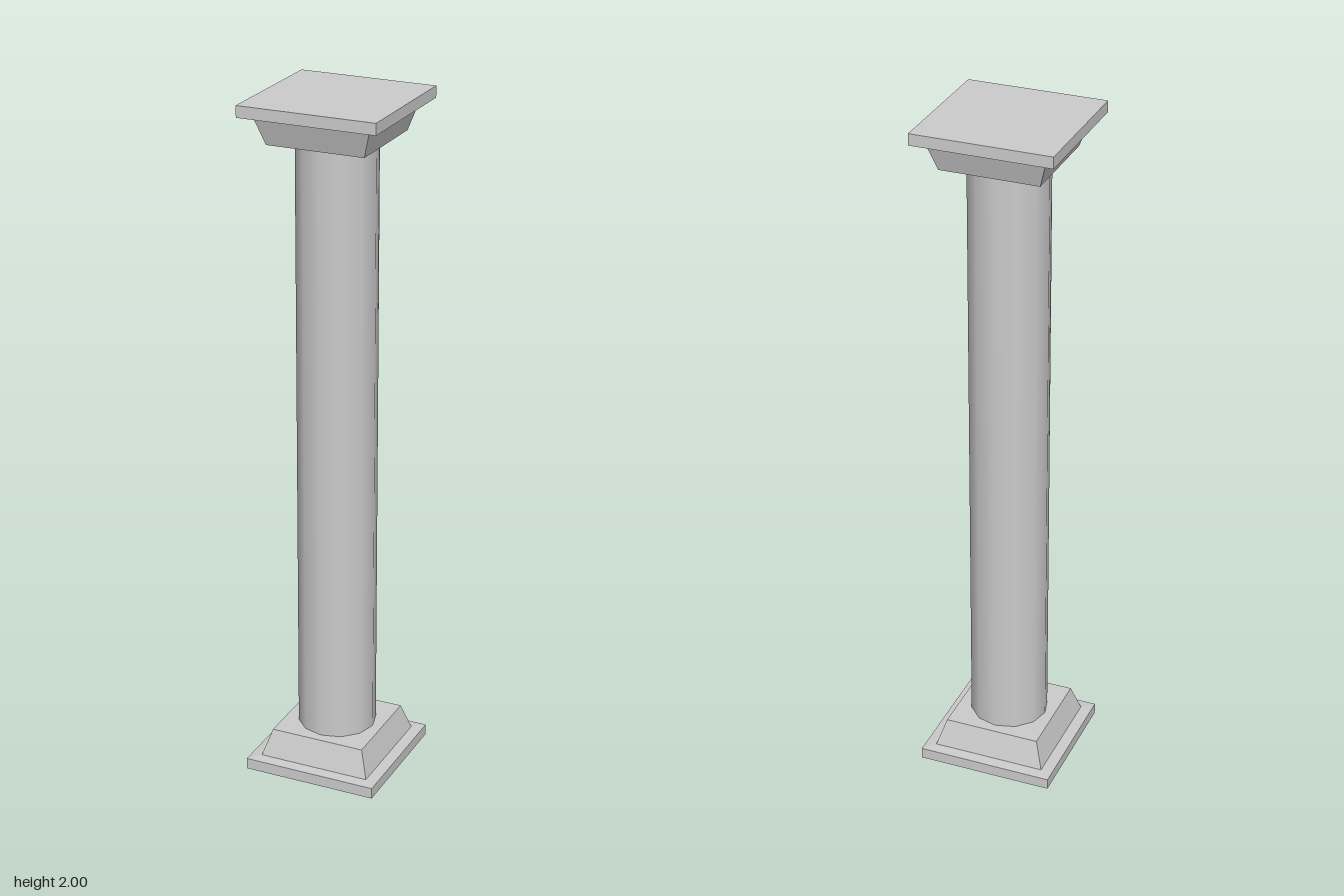
import * as THREE from 'three';

const flat = new THREE.MeshStandardMaterial({ color: 0xcccccc, flatShading: true, side: THREE.DoubleSide });
const smooth = new THREE.MeshStandardMaterial({ color: 0xcccccc, side: THREE.DoubleSide });

// Square moulding: a profile of [half width, y] swept round four sides
function squareMoulding(name, profile) {
  const points = profile.map(([w, y]) => new THREE.Vector2(w * Math.SQRT2, y));
  const geometry = new THREE.LatheGeometry(points, 4);
  geometry.rotateY(Math.PI / 4);
  const mesh = new THREE.Mesh(geometry, flat);
  mesh.name = name;
  return mesh;
}

export function createModel() {
  const group = new THREE.Group();
  group.name = 'column';

  // Base: plinth and sloped block, hollow underneath
  const profile = [[0.2, 0], [0.2, 0.033], [0.167, 0.036], [0.142, 0.115], [0, 0.115]];
  group.add(squareMoulding('base', profile));

  // Capital: the base turned over, closed by a flat top
  const flipped = profile.map(([w, y]) => [w, 2 - y]).reverse();
  group.add(squareMoulding('capital', [...flipped, [0, 2]]));

  // Twelve-sided shaft with smooth shading
  const shaft = new THREE.Mesh(new THREE.CylinderGeometry(0.114, 0.114, 1.98, 12), smooth);
  shaft.position.y = 0.992;
  shaft.name = 'shaft';
  group.add(shaft);

  return group;
}
